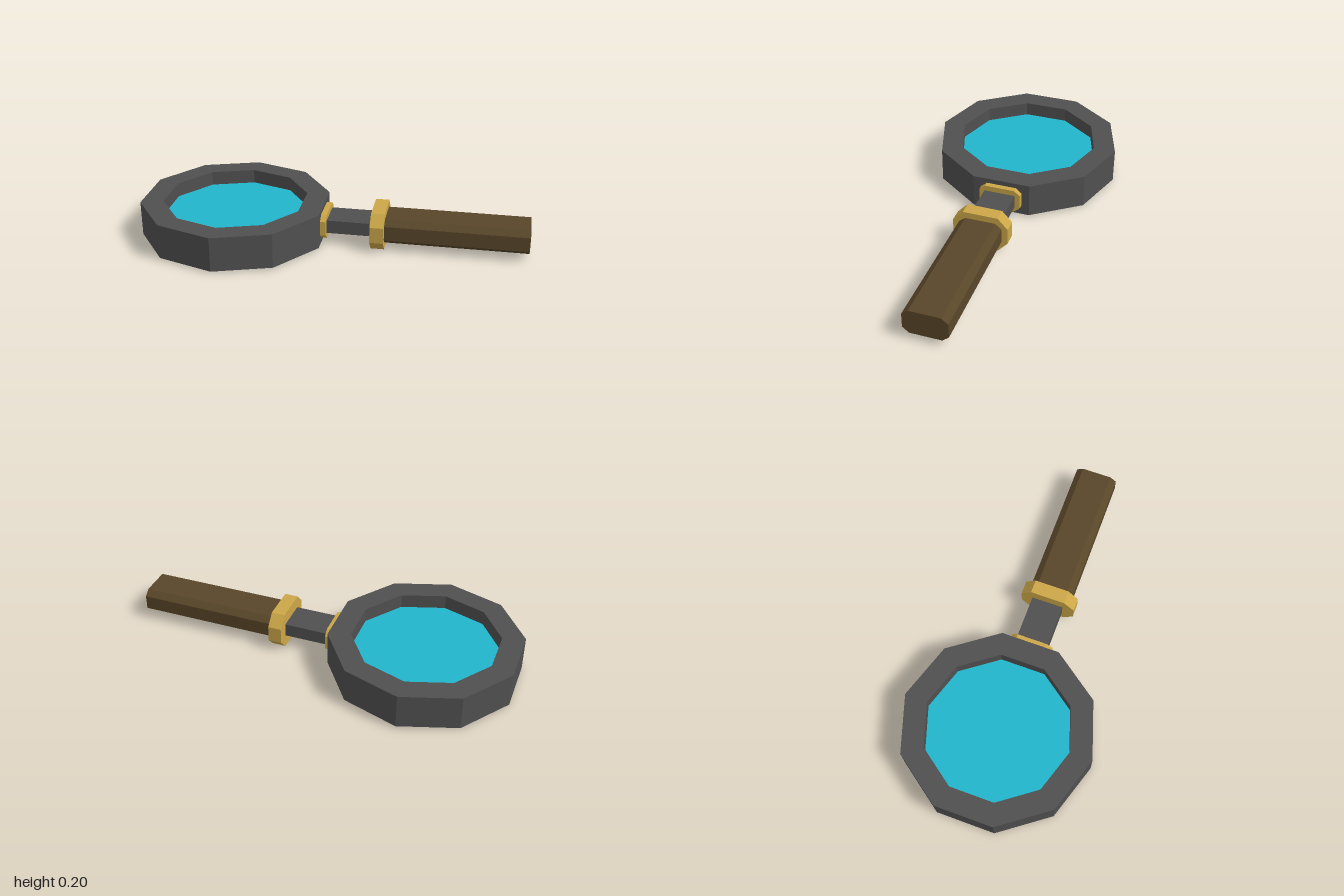
import * as THREE from 'three';

const DARK = 0x505050, GOLD = 0xcca748, WOOD = 0x584629, GLASS = 0x22b5cc;

function mesh(name, geometry, color) {
  const m = new THREE.Mesh(geometry, new THREE.MeshStandardMaterial({ color, flatShading: true }));
  m.name = name;
  return m;
}

// Decagon outline with corners on the z axis
function decagon(Type, r) {
  const pts = [];
  for (let i = 0; i < 10; i++) {
    const a = Math.PI / 2 + (i * Math.PI) / 5;
    pts.push(new THREE.Vector2(r * Math.cos(a), r * Math.sin(a)));
  }
  return new Type(pts);
}

// Flat upright slab from y0 to y1 made from an outline in the ground plane
function slab(shape, y0, y1) {
  return new THREE.ExtrudeGeometry(shape, { depth: y1 - y0, bevelEnabled: false })
    .rotateX(-Math.PI / 2).translate(-0.53, y0, 0);
}

// Chamfered bar along x: half width w, flat half width fw, half height h, flat half height fh
function bar(x0, x1, w, fw, h, fh) {
  const s = new THREE.Shape([
    [w, fh], [fw, h], [-fw, h], [-w, fh], [-w, -fh], [-fw, -h], [fw, -h], [w, -fh],
  ].map(([a, b]) => new THREE.Vector2(a, b)));
  return new THREE.ExtrudeGeometry(s, { depth: x1 - x0, bevelEnabled: false })
    .rotateY(Math.PI / 2).translate(x0, 0.099, 0);
}

export function createModel() {
  const group = new THREE.Group();
  group.name = 'magnifyingGlass';

  // Ten-sided frame and lens
  const ring = decagon(THREE.Shape, 0.495);
  ring.holes.push(decagon(THREE.Path, 0.377));
  group.add(mesh('rim', slab(ring, 0.008, 0.19), DARK));
  group.add(mesh('lens', slab(decagon(THREE.Shape, 0.378), 0.088, 0.115), GLASS));

  // Neck between the two collars
  const neck = new THREE.BoxGeometry(0.25, 0.07, 0.166).translate(0.085, 0.099, 0);
  group.add(mesh('neck', neck, DARK));

  // Collars and grip
  group.add(mesh('rimCollar', bar(-0.062, -0.03, 0.111, 0.08, 0.065, 0.038), GOLD));
  group.add(mesh('gripCollar', bar(0.2, 0.27, 0.144, 0.091, 0.099, 0.042), GOLD));
  group.add(mesh('grip', bar(0.26, 1, 0.112, 0.079, 0.065, 0.038), WOOD));
  return group;
}
